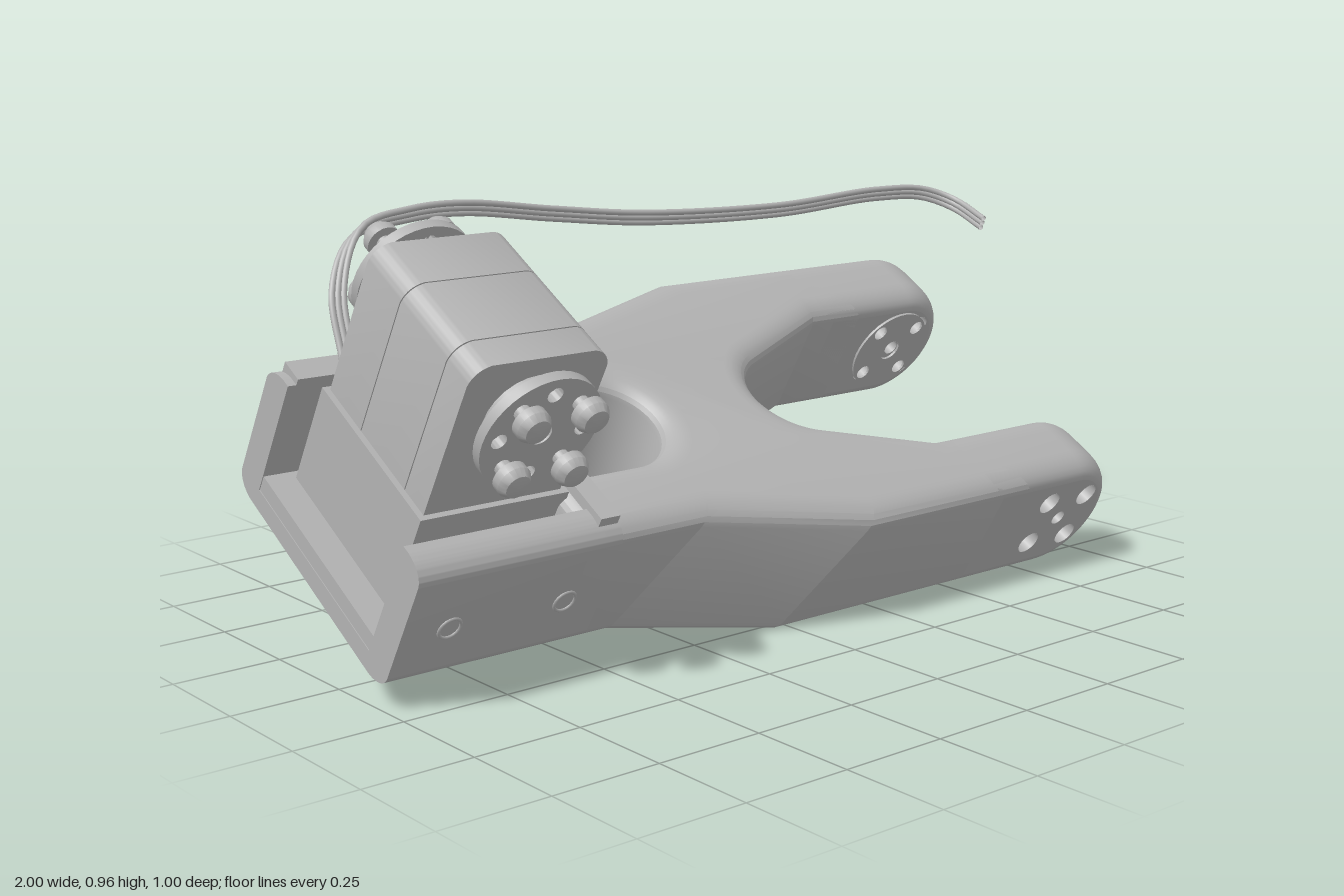
import * as THREE from 'three';
import { toCreasedNormals } from 'three/addons/utils/BufferGeometryUtils.js';

const grey = new THREE.MeshStandardMaterial({ color: 0xb2b2b2, side: THREE.DoubleSide });
grey.name = 'plainGrey';

const MID = -0.2;               // centre line of the body across its width
const LOW = 0.117, HIGH = 0.45; // underside and top of the body
const ROUND_W = 0.065, ROUND_Y = 0.042; // edge rounding across and upward
const END_R = (HIGH - LOW) / 2;
const SERVO_X = -0.748, HORN_Y = 0.685;

function add(parent, name, geo, x = 0, y = 0, z = 0) {
  const mesh = new THREE.Mesh(geo, grey);
  mesh.name = name;
  mesh.position.set(x, y, z);
  parent.add(mesh);
  return mesh;
}
function box(parent, name, x0, x1, y0, y1, z0, z1) {
  return add(parent, name, new THREE.BoxGeometry(x1 - x0, y1 - y0, z1 - z0),
    (x0 + x1) / 2, (y0 + y1) / 2, (z0 + z1) / 2);
}
function rod(parent, name, r, z0, z1, x, y, open = false) {
  const g = new THREE.CylinderGeometry(r, r, z1 - z0, 24, 1, open).rotateX(Math.PI / 2);
  return add(parent, name, g, x, y, (z0 + z1) / 2);
}
const extrude = (shape, depth, curveSegments = 12) =>
  toCreasedNormals(new THREE.ExtrudeGeometry(shape, { depth, bevelEnabled: false, curveSegments }), 0.4);
const rounded = (shape, depth, inset, thick) => new THREE.ExtrudeGeometry(shape, {
  depth: depth - 2 * thick, bevelThickness: thick, bevelSize: inset, bevelOffset: -inset,
  bevelSegments: 6, curveSegments: 16 });
const circle = (x, y, r) => new THREE.Path().absarc(x, y, r, 0, Math.PI * 2, true);

// Forked body: waist with an open slot on each side
function addBody(g) {
  const s = new THREE.Shape();
  s.moveTo(-0.58, 0.33);
  s.lineTo(-0.45, 0.33);
  s.lineTo(-0.05, 0.445);
  s.lineTo(0.65, 0.445);
  s.lineTo(0.65, 0.24);
  s.lineTo(0.49, 0.24);
  s.lineTo(0.2, 0.125);
  s.bezierCurveTo(0.09, 0.075, 0.09, -0.075, 0.2, -0.125);
  s.lineTo(0.49, -0.24);
  s.lineTo(0.65, -0.24);
  s.lineTo(0.65, -0.445);
  s.lineTo(-0.05, -0.445);
  s.lineTo(-0.45, -0.33);
  s.lineTo(-0.58, -0.33);
  s.lineTo(-0.58, -0.135);
  s.lineTo(-0.335, -0.135);
  s.absarc(-0.335, 0, 0.135, -Math.PI / 2, Math.PI / 2, false);
  s.lineTo(-0.58, 0.135);
  const geo = rounded(s, HIGH - LOW, ROUND_W, ROUND_Y).rotateX(-Math.PI / 2);
  // the flared flanks lean: their corners lie further along x at the top
  const p = geo.attributes.position;
  for (let i = 0; i < p.count; i++) {
    const x = p.getX(i);
    if (Math.abs(p.getZ(i)) > 0.25 && x > -0.48 && x < 0)
      p.setX(i, x + 0.19 * (p.getY(i) + ROUND_Y) / (HIGH - LOW));
  }
  add(g, 'forkedBody', toCreasedNormals(geo, 0.25), 0, LOW + ROUND_Y, MID);
}

// Round-ended arm with four bolt holes and a centre hole
const armOutline = inset => {
  const r = END_R - inset, s = new THREE.Shape();
  s.moveTo(0.52 + inset, -r);
  s.lineTo(1 - END_R, -r);
  s.absarc(1 - END_R, 0, r, -Math.PI / 2, Math.PI / 2, false);
  s.lineTo(0.52 + inset, r);
  return s;
};
function addArm(g, name, z0, z1) {
  const arm = new THREE.Group();
  arm.name = name;
  arm.position.y = (LOW + HIGH) / 2;
  g.add(arm);
  // keep only the rounded side wall; the flat faces carry the holes
  const full = rounded(armOutline(0), z1 - z0, ROUND_Y, ROUND_W), side = full.groups[1];
  const wall = new THREE.BufferGeometry();
  wall.setAttribute('position', new THREE.BufferAttribute(
    full.attributes.position.array.slice(side.start * 3, (side.start + side.count) * 3), 3));
  add(arm, 'armWall', toCreasedNormals(wall, 0.4), 0, 0, z0 + ROUND_W);
  const face = armOutline(ROUND_Y), holes = [[0.828, 0.004, 0.02]];
  for (const x of [0.76, 0.894]) for (const y of [-0.064, 0.066]) holes.push([x, y, 0.031]);
  for (const [x, y, r] of holes) {
    face.holes.push(circle(x, y, r));
    rod(arm, 'boltHole', r, z0, z1, x, y, true);
  }
  for (const z of [z0, z1]) add(arm, 'armFace', new THREE.ShapeGeometry(face, 16), 0, 0, z);
}

// Thin-walled cradle under the motor, with a perforated floor
function addCradle(g) {
  for (const s of [-1, 1]) {
    const p = new THREE.Shape();
    p.moveTo(s * 0.25, LOW);
    p.lineTo(s * (0.33 - ROUND_W), LOW);
    p.absellipse(s * (0.33 - ROUND_W), LOW + ROUND_Y, ROUND_W, ROUND_Y,
      -Math.PI / 2, s > 0 ? 0 : -Math.PI, s < 0);
    p.absellipse(s * (0.33 - ROUND_W), HIGH - ROUND_Y, ROUND_W, ROUND_Y,
      s > 0 ? 0 : Math.PI, Math.PI / 2, s < 0);
    p.lineTo(s * 0.25, HIGH);
    add(g, 'cradleWall', extrude(p, 0.5).rotateY(Math.PI / 2), -1, 0, MID);
    for (const x of [-0.885, -0.6])
      add(g, 'wallHoleRim', new THREE.TorusGeometry(0.026, 0.004, 6, 20), x, 0.27, MID + s * 0.33);
    const inner = MID + s * 0.125, outer = MID + s * 0.3;
    box(g, 'topLip', -0.555, -0.505, 0.4, 0.465, Math.min(inner, outer), Math.max(inner, outer));
  }
  box(g, 'rearLedge', -0.98, -0.5, 0.43, 0.465, -0.51, -0.45);
  const floor = new THREE.Shape();
  floor.moveTo(-1, -0.26);
  floor.lineTo(-0.5, -0.26);
  floor.lineTo(-0.5, 0.26);
  floor.lineTo(-1, 0.26);
  for (let i = 0; i < 5; i++) for (let j = 0; j < 4; j++) {
    const x = -0.93 + i * 0.09, y = -0.17 + j * 0.113, h = 0.03;
    floor.holes.push(new THREE.Path([[x - h, y], [x, y + h], [x + h, y], [x, y - h]]
      .map(c => new THREE.Vector2(...c))));
  }
  add(g, 'perforatedFloor', extrude(floor, 0.045).rotateX(-Math.PI / 2), 0, LOW, MID);
  box(g, 'pocketFloor', -0.998, -0.53, LOW + 0.045, 0.2, -0.46, 0.06);
}

// Motor case in three slices, split by fine seams
function addMotor(g) {
  const s = new THREE.Shape(), w = 0.168, c = 0.045, top = 0.828, bottom = 0.19;
  s.moveTo(-w, bottom);
  s.lineTo(w, bottom);
  s.lineTo(w, top - c);
  s.quadraticCurveTo(w - 0.008, top - 0.008, w - c, top);
  s.lineTo(-w + c, top);
  s.quadraticCurveTo(-w + 0.008, top - 0.008, -w, top - c);
  for (const [z0, z1] of [[-0.42, -0.285], [-0.282, -0.098], [-0.095, -0.018]])
    add(g, 'motorCase', extrude(s, z1 - z0), SERVO_X, 0, z0);
  add(g, 'motorCore', extrude(s, 0.36).scale(0.98, 0.993, 1), SERVO_X, 0, -0.4);
  box(g, 'motorBracket', -0.93, -0.565, 0.18, 0.452, -0.43, -0.005);
}

// Drilled disc with four screws, facing out along dir
function addHorn(g, name, z, dir) {
  const horn = new THREE.Group();
  horn.name = name;
  horn.position.set(SERVO_X, HORN_Y, z);
  if (dir < 0) horn.rotation.y = Math.PI;
  g.add(horn);
  const disc = new THREE.Shape().absarc(0, 0, 0.14, 0, Math.PI * 2, false);
  for (let i = 0; i < 4; i++) {
    const a = i * Math.PI / 2;
    disc.holes.push(circle(0.1 * Math.cos(a), 0.1 * Math.sin(a), 0.018));
  }
  disc.holes.push(circle(0, 0, 0.025));
  add(horn, 'hornDisc', extrude(disc, 0.025, 20), 0, 0, 0.04);
  rod(horn, 'hornHub', 0.075, -0.01, 0.041, 0, 0);
  rod(horn, 'hornCollar', 0.1, -0.005, 0.02, 0, 0);
  const profile = [[0, 0.04], [0.018, 0.04], [0.018, 0.092], [0.038, 0.092], [0.038, 0.112], [0.028, 0.128], [0, 0.134]]
    .map(p => new THREE.Vector2(...p));
  for (const x of [-0.07, 0.07]) for (const y of [-0.07, 0.07]) {
    add(horn, 'screw', toCreasedNormals(new THREE.LatheGeometry(profile, 20).rotateX(Math.PI / 2), 0.6), x, y, 0);
  }
}

// Flat cable made of three wires
function addCable(g) {
  const path = [[-0.88, 0.66, -0.12], [-0.865, 0.8, -0.18], [-0.79, 0.91, -0.225], [-0.65, 0.938, -0.24],
    [-0.5, 0.94, -0.25], [-0.25, 0.907, -0.255], [0, 0.88, -0.235], [0.4, 0.87, -0.21],
    [0.75, 0.883, -0.222], [0.9, 0.876, -0.2], [0.955, 0.85, -0.145], [0.945, 0.81, -0.03]];
  for (const k of [-1, 0, 1]) {
    const pts = path.map(([x, y, z], i) => new THREE.Vector3(
      x + (i < 3 ? k * 0.012 : 0), y + (i < 2 ? 0 : k * 0.012), z + k * 0.004));
    add(g, 'cableWire', new THREE.TubeGeometry(new THREE.CatmullRomCurve3(pts), 90, 0.0075, 8));
  }
}

export function createModel() {
  const model = new THREE.Group();
  model.name = 'robotArmLink';
  const link = new THREE.Group();
  link.name = 'tiltedLink';
  link.rotation.x = Math.PI / 6;
  model.add(link);

  addBody(link);
  addArm(link, 'frontArm', 0.04, 0.245);
  addArm(link, 'backArm', -0.645, -0.44);
  addCradle(link);
  addMotor(link);
  addHorn(link, 'frontHorn', -0.02, 1);
  addHorn(link, 'backHorn', -0.42, -1);

  // Drilled mounting plates on the inner arm faces
  const plate = new THREE.Shape().absarc(0, 0, 0.118, 0, Math.PI * 2, false);
  for (const x of [-0.065, 0.065]) for (const y of [-0.065, 0.065]) plate.holes.push(circle(x, y, 0.02));
  plate.holes.push(circle(0, 0, 0.03));
  for (const z of [-0.44, 0.034]) add(link, 'mountPlate', extrude(plate, 0.006, 20), 0.82, 0.285, z);

  // Cable hooks on the back of the arm
  for (const y of [0.327, 0.223]) {
    box(link, 'cableHook', 0.45, 0.6, y - 0.018, y + 0.018, -0.69, -0.63);
    box(link, 'hookLip', 0.45, 0.6, y - 0.032, y + 0.032, -0.702, -0.685);
  }
  addCable(model);
  return model;
}
